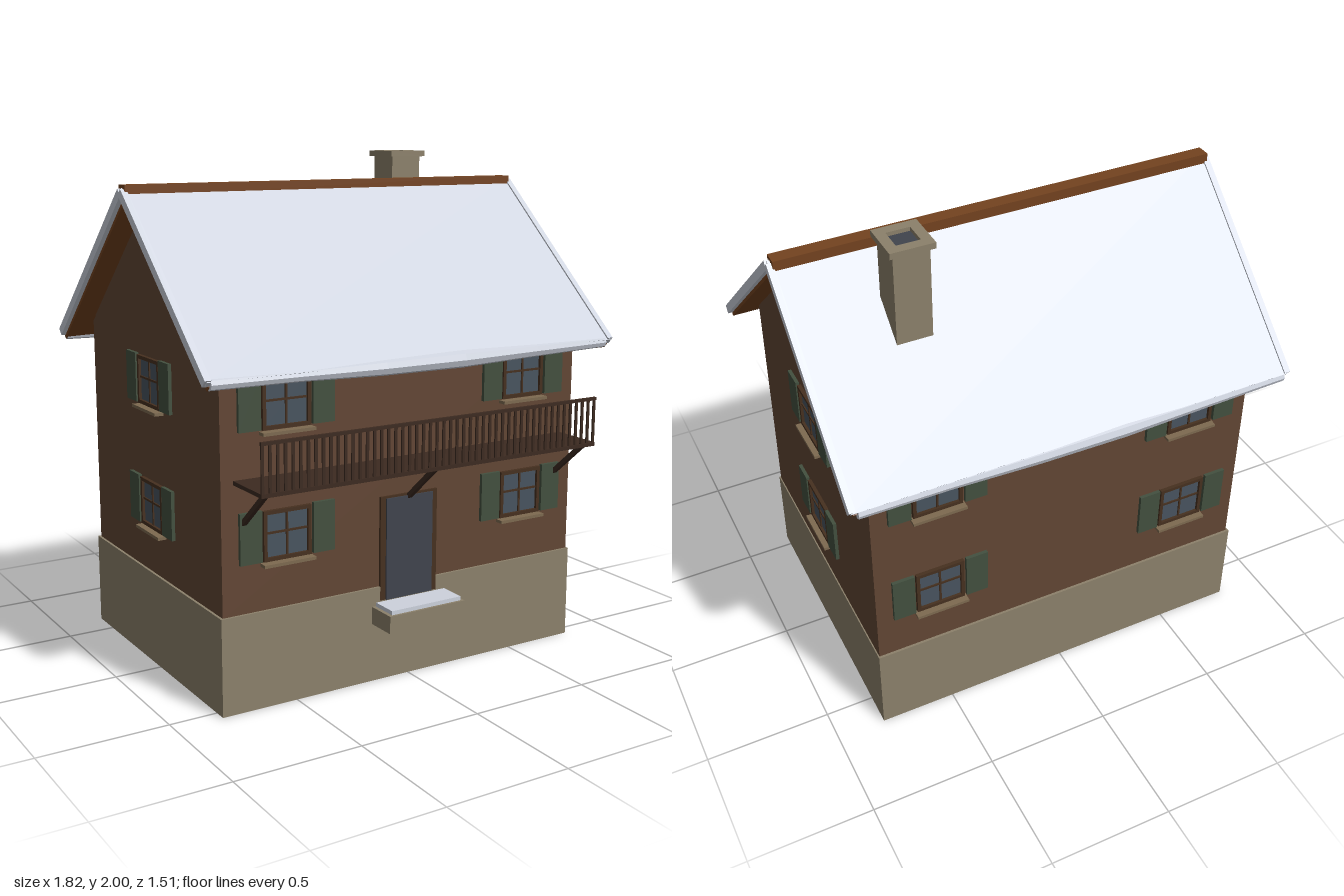
import * as THREE from 'three';

const mat = (color) => new THREE.MeshStandardMaterial({ color, flatShading: true });
const STONE = mat(0x8c816b), WALL = mat(0x624634), WOOD = mat(0x46301f), TIMBER = mat(0x3c2a20);
const SNOW = mat(0xcdd2dd), SHUTTER = mat(0x43503f), GLASS = mat(0x48545f), RIDGE = mat(0x74431f);
const SLATE = mat(0x40444d), SILL = mat(0x7d6a50);
const RZ = -0.04; // z of the ridge

function add(parent, name, geometry, material, x = 0, y = 0, z = 0) {
  const mesh = new THREE.Mesh(geometry, material);
  mesh.name = name;
  mesh.position.set(x, y, z);
  parent.add(mesh);
  return mesh;
}

// Box given by its extents on each axis
function box(parent, name, material, x0, x1, y0, y1, z0, z1) {
  return add(parent, name, new THREE.BoxGeometry(x1 - x0, y1 - y0, z1 - z0), material,
    (x0 + x1) / 2, (y0 + y1) / 2, (z0 + z1) / 2);
}

// Profile of [z, y] points extruded along x, centred on x = 0
function alongX(parent, name, material, points, length) {
  const shape = new THREE.Shape(points.map(([z, y]) => new THREE.Vector2(-z, y)));
  const g = new THREE.ExtrudeGeometry(shape, { depth: length, bevelEnabled: false });
  g.translate(0, 0, -length / 2).rotateY(Math.PI / 2);
  return add(parent, name, g, material);
}

// Chevron roof layer: apex height, half span of the top edge, thickness across the slope
function roofLayer(parent, name, material, apex, half, thick, length) {
  const slope = 0.89, len = Math.hypot(1, slope);
  const ix = half - thick * slope / len, iy = apex - half * slope - thick / len;
  alongX(parent, name, material, [
    [RZ, apex], [RZ + half, apex - half * slope], [RZ + ix, iy],
    [RZ, apex - thick * len], [RZ - ix, iy], [RZ - half, apex - half * slope],
  ], length);
}

// Window with cross bars, sill and open shutters, lying on the plane z = 0
function makeWindow() {
  const w = new THREE.Group();
  w.name = 'window';
  box(w, 'glass', GLASS, -0.09, 0.09, -0.085, 0.085, -0.01, 0.004);
  for (const s of [-1, 1]) {
    const side = new THREE.BoxGeometry(0.014, 0.19, 0.022);
    add(w, 'frameSide', side, WOOD, s * 0.092, 0, 0.004);
    add(w, 'frameRail', new THREE.BoxGeometry(0.198, 0.014, 0.022), WOOD, 0, s * 0.088, 0.004);
    add(w, 'shutter', new THREE.BoxGeometry(0.09, 0.193, 0.014), SHUTTER, s * 0.152, 0.004, 0.011);
  }
  add(w, 'mullion', new THREE.BoxGeometry(0.008, 0.17, 0.012), WOOD, 0, 0, 0.003);
  add(w, 'glazingBar', new THREE.BoxGeometry(0.18, 0.008, 0.012), WOOD, 0, 0.01, 0.003);
  add(w, 'sill', new THREE.BoxGeometry(0.215, 0.012, 0.04), SILL, 0, -0.106, 0.016);
  return w;
}

// Uneven roll of snow hanging on an eave
function snowRoll(parent, z, y, flip) {
  const g = new THREE.CylinderGeometry(0.026, 0.026, 1.76, 8, 5).rotateZ(Math.PI / 2);
  const p = g.attributes.position;
  for (let i = 0; i < p.count; i++) {
    const x = p.getX(i) * flip;
    const k = 1.05 + 0.25 * Math.sin(x * 4 + 1.2);
    p.setXYZ(i, p.getX(i), p.getY(i) * k - 0.004 * Math.cos(x * 3), p.getZ(i) * k);
  }
  g.computeVertexNormals();
  add(parent, 'eaveSnow', g, SNOW, -0.005, y, z);
}

export function createModel() {
  const house = new THREE.Group();
  house.name = 'chalet';

  // Walls
  box(house, 'stoneBase', STONE, -0.81, 0.805, 0, 0.375, -0.63, 0.55);
  box(house, 'timberWalls', WALL, -0.8, 0.8, 0.37, 1.34, -0.62, 0.54);
  alongX(house, 'gable', WALL, [[RZ + 0.58, 1.338], [RZ, 1.835], [RZ - 0.58, 1.338]], 1.604);

  // Roof: boards, snow cover, snow along the verges, ridge board
  const roof = new THREE.Group();
  roof.name = 'roof';
  house.add(roof);
  roofLayer(roof, 'roofBoards', RIDGE, 1.856, 0.685, 0.022, 1.78);
  roofLayer(roof, 'roofSnow', SNOW, 1.882, 0.695, 0.021, 1.80);
  for (const sx of [-1, 1]) {
    for (const sz of [-1, 1]) {
      const verge = add(roof, 'vergeSnow', new THREE.BoxGeometry(0.025, 0.034, 0.915), SNOW,
        sx * 0.896, 1.562, RZ + sz * 0.343);
      verge.rotation.x = sz * Math.atan(0.89);
    }
  }
  snowRoll(roof, 0.637, 1.25, 1);
  snowRoll(roof, -0.718, 1.243, -1);
  box(roof, 'ridgeBoard', RIDGE, -0.895, 0.89, 1.85, 1.893, -0.072, -0.015);

  // Chimney with an open cap
  const chimney = new THREE.Group();
  chimney.name = 'chimney';
  chimney.position.set(0.482, 0, -0.277);
  house.add(chimney);
  box(chimney, 'stack', STONE, -0.07, 0.07, 1.48, 1.978, -0.07, 0.07);
  const square = (r) => [[-r, -r], [r, -r], [r, r], [-r, r]].map(([a, b]) => new THREE.Vector2(a, b));
  const cap = new THREE.Shape(square(0.086));
  cap.holes.push(new THREE.Path(square(0.046)));
  const capGeo = new THREE.ExtrudeGeometry(cap, { depth: 0.024, bevelEnabled: false });
  add(chimney, 'cap', capGeo.rotateX(-Math.PI / 2), STONE, 0, 1.976, 0);
  box(chimney, 'flue', SLATE, -0.046, 0.046, 1.95, 1.984, -0.046, 0.046);

  // Windows on two floors, all four sides
  for (const y of [0.656, 1.144]) {
    for (const [x, z, turn] of [
      [-0.537, 0.54, 0], [0.537, 0.54, 0], [-0.537, -0.62, Math.PI], [0.537, -0.62, Math.PI],
      [0.8, RZ, Math.PI / 2], [-0.8, RZ, -Math.PI / 2],
    ]) {
      const w = makeWindow();
      w.position.set(x, y, z);
      w.rotation.y = turn;
      house.add(w);
    }
  }

  // Door and step
  box(house, 'doorFrame', WOOD, -0.132, 0.128, 0.32, 0.73, 0.53, 0.55);
  box(house, 'door', SLATE, -0.108, 0.104, 0.32, 0.722, 0.53, 0.556);
  box(house, 'doorStep', STONE, -0.175, 0.17, 0.237, 0.306, 0.56, 0.685);
  box(house, 'stepSnow', SNOW, -0.16, 0.158, 0.306, 0.322, 0.565, 0.675);

  // Balcony: deck, railing and slanted brackets
  const balcony = new THREE.Group();
  balcony.name = 'balcony';
  house.add(balcony);
  box(balcony, 'deck', TIMBER, -0.75, 0.745, 0.863, 0.878, 0.53, 0.752);
  box(balcony, 'handrail', TIMBER, -0.75, 0.745, 1.048, 1.06, 0.742, 0.754);
  const COUNT = 50;
  for (let i = 0; i < COUNT; i++) {
    const x = -0.744 + (1.482 * i) / (COUNT - 1);
    add(balcony, 'baluster', new THREE.BoxGeometry(0.011, 0.175, 0.006), TIMBER, x, 0.963, 0.748);
  }
  for (const x of [-0.717, -0.003, 0.712]) {
    const brace = add(balcony, 'bracket', new THREE.BoxGeometry(0.018, 0.018, 0.24), TIMBER, x, 0.787, 0.63);
    brace.rotation.x = -Math.atan2(0.15, 0.175);
  }
  return house;
}
